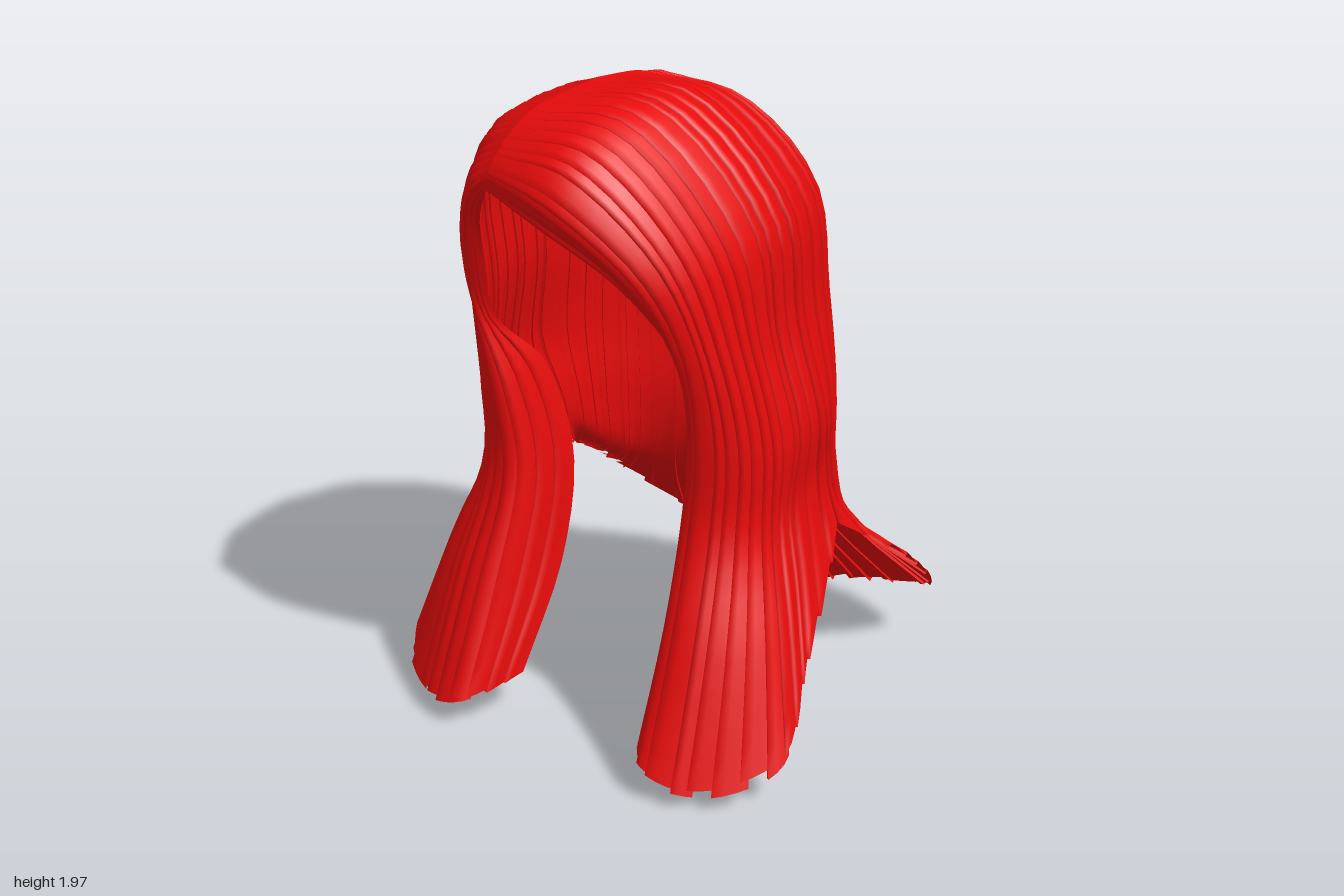
import * as THREE from 'three';
import { mergeGeometries } from 'three/addons/utils/BufferGeometryUtils.js';

const V = (p) => new THREE.Vector3(...p);

// Guide strands of the left side, each from the parting down to the hem
const frontGuides = [
  [[-.2, 1.74, .66], [.02, 1.675, .69], [.19, 1.55, .61], [.285, 1.35, .48], [.285, 1.1, .31], [.23, .8, .25], [.225, .47, .32], [.24, .14, .52]],
  [[-.19, 1.79, .66], [.05, 1.76, .71], [.27, 1.57, .63], [.34, 1.33, .52], [.34, 1.05, .455], [.31, .78, .44], [.32, .45, .55], [.33, .1, .7]],
  [[-.18, 1.86, .61], [.1, 1.865, .63], [.33, 1.63, .56], [.41, 1.33, .47], [.44, 1.03, .41], [.43, .76, .41], [.47, .45, .53], [.5, .06, .67]],
  [[-.16, 1.93, .52], [.14, 1.935, .49], [.395, 1.64, .42], [.455, 1.32, .35], [.505, 1.02, .31], [.505, .76, .31], [.59, .48, .4], [.68, .13, .5]],
  [[-.13, 1.965, .4], [.16, 1.965, .33], [.43, 1.66, .26], [.465, 1.33, .22], [.53, 1.02, .19], [.51, .8, .19], [.56, .6, .22], [.64, .36, .3]],
  [[-.1, 1.985, .27], [.17, 1.965, .17], [.435, 1.66, .1], [.465, 1.33, .07], [.52, 1.03, .03], [.495, .85, -.02], [.49, .74, -.05], [.52, .63, -.06]],
];
const backGuides = [
  [...frontGuides[5].slice(0, 7), [.5, .62, -.09]],
  [[-.07, 1.98, .15], [.17, 1.915, -.01], [.36, 1.66, -.13], [.39, 1.33, -.17], [.41, 1.03, -.19], [.41, .78, -.2], [.44, .56, -.25], [.6, .42, -.36]],
  [[-.06, 1.97, .1], [.12, 1.89, -.08], [.23, 1.66, -.24], [.26, 1.33, -.29], [.27, 1.03, -.31], [.27, .75, -.325], [.34, .5, -.39], [.57, .2, -.59]],
  [[-.05, 1.965, .06], [.05, 1.87, -.13], [.1, 1.66, -.295], [.12, 1.33, -.34], [.12, 1.03, -.36], [.12, .75, -.37], [.14, .45, -.44], [.23, .08, -.7]],
];
const backCentre = [[-.05, 1.96, .04], [-.02, 1.87, -.14], [0, 1.66, -.31], [0, 1.33, -.355], [0, 1.03, -.375], [0, .75, -.385], [0, .45, -.45], [0, .01, -.73]];

// Points where the right side differs, keyed by their place along the strand
const frontRight = [
  { 1: [-.26, 1.64, .62], 2: [-.31, 1.48, .55], 3: [-.345, 1.27, .46] },
  { 1: [-.28, 1.72, .64], 2: [-.36, 1.52, .57], 3: [-.39, 1.3, .49] },
  { 1: [-.3, 1.79, .57], 2: [-.4, 1.58, .51] },
  { 1: [-.33, 1.85, .46], 2: [-.43, 1.62, .41] },
  { 1: [-.34, 1.87, .31], 2: [-.455, 1.64, .26] },
  { 1: [-.34, 1.87, .16], 2: [-.455, 1.64, .1] },
];
const backRight = [
  { 1: [-.34, 1.87, .16], 2: [-.455, 1.64, .1] },
  { 1: [-.27, 1.86, -.02], 7: [-.67, .45, -.41] },
  { 1: [-.18, 1.87, -.1], 7: [-.47, .22, -.62] },
  { 1: [-.1, 1.87, -.13], 7: [-.24, .06, -.72] },
];

const mirrorGuides = (guides, changes) => guides.map((g, i) =>
  g.map((p, k) => (k === 0 ? p : changes[i][k] || [-p[0], p[1], p[2]]))).reverse();

// Seeded random numbers
let seed = 11;
const rand = () => (seed = (seed * 16807) % 2147483647) / 2147483647;

// Smooth surface through the guides: u runs around the head, t runs down
function makeSurface(guides) {
  const strands = guides.map((g) => new THREE.CatmullRomCurve3(g.map(V)));
  const rows = new Map();
  return (u, t) => {
    if (!rows.has(t)) rows.set(t, new THREE.CatmullRomCurve3(strands.map((s) => s.getPoint(t))));
    return rows.get(t).getPoint(u);
  };
}

// One lock: a strip lifted at its leading edge, which is turned down to close the step
function makeLock(surface, u0, u1, nt = 30) {
  const pos = [], index = [], e = 0.004;
  const across = [0, 0, 0.33, 0.67, 1];
  const lift = 0.006 + rand() * 0.007;
  const end = 1 - rand() * 0.012;
  const n = across.length;
  for (let j = 0; j <= nt; j++) {
    const t = (j / nt) * end;
    const fade = Math.min(1, t * 4);
    across.forEach((f, i) => {
      const u = u0 + (u1 - u0) * f;
      const p = surface(u, t);
      const du = surface(Math.min(1, u + e), t).sub(surface(Math.max(0, u - e), t));
      const dt = surface(u, Math.min(1, t + e)).sub(surface(u, Math.max(0, t - e)));
      const out = dt.cross(du).normalize();
      p.addScaledVector(out, fade * (i === 0 ? -0.008 : lift * (1 - f) - 0.004 * f));
      pos.push(p.x, p.y, p.z);
      if (i < n - 1 && j < nt) {
        const a = j * n + i, b = a + 1, c = a + n, d = c + 1;
        index.push(a, c, b, b, c, d);
      }
    });
  }
  const geo = new THREE.BufferGeometry();
  geo.setAttribute('position', new THREE.Float32BufferAttribute(pos, 3));
  geo.setIndex(index);
  geo.computeVertexNormals();
  return geo;
}

// A panel of overlapping locks of uneven width
function makePanel(guides, count) {
  const surface = makeSurface(guides);
  const cuts = [0];
  for (let i = 1; i < count; i++) cuts.push((i + (rand() - 0.5) * 0.6) / count);
  cuts.push(1);
  const locks = [];
  for (let i = 0; i < count; i++) {
    locks.push(makeLock(surface, cuts[i], Math.min(1, cuts[i + 1] + 0.3 / count)));
  }
  return mergeGeometries(locks);
}

export function createModel() {
  const group = new THREE.Group();
  group.name = 'longHair';
  const red = new THREE.MeshStandardMaterial({ color: 0xe60b0b, side: THREE.DoubleSide });
  red.name = 'red hair';

  const panels = [
    ['leftFrontHair', frontGuides, 16],
    ['backHair', [...backGuides, backCentre, ...mirrorGuides(backGuides, backRight)], 26],
    ['rightFrontHair', mirrorGuides(frontGuides, frontRight), 16],
  ];
  for (const [name, guides, count] of panels) {
    const mesh = new THREE.Mesh(makePanel(guides, count), red);
    mesh.name = name;
    group.add(mesh);
  }
  return group;
}
